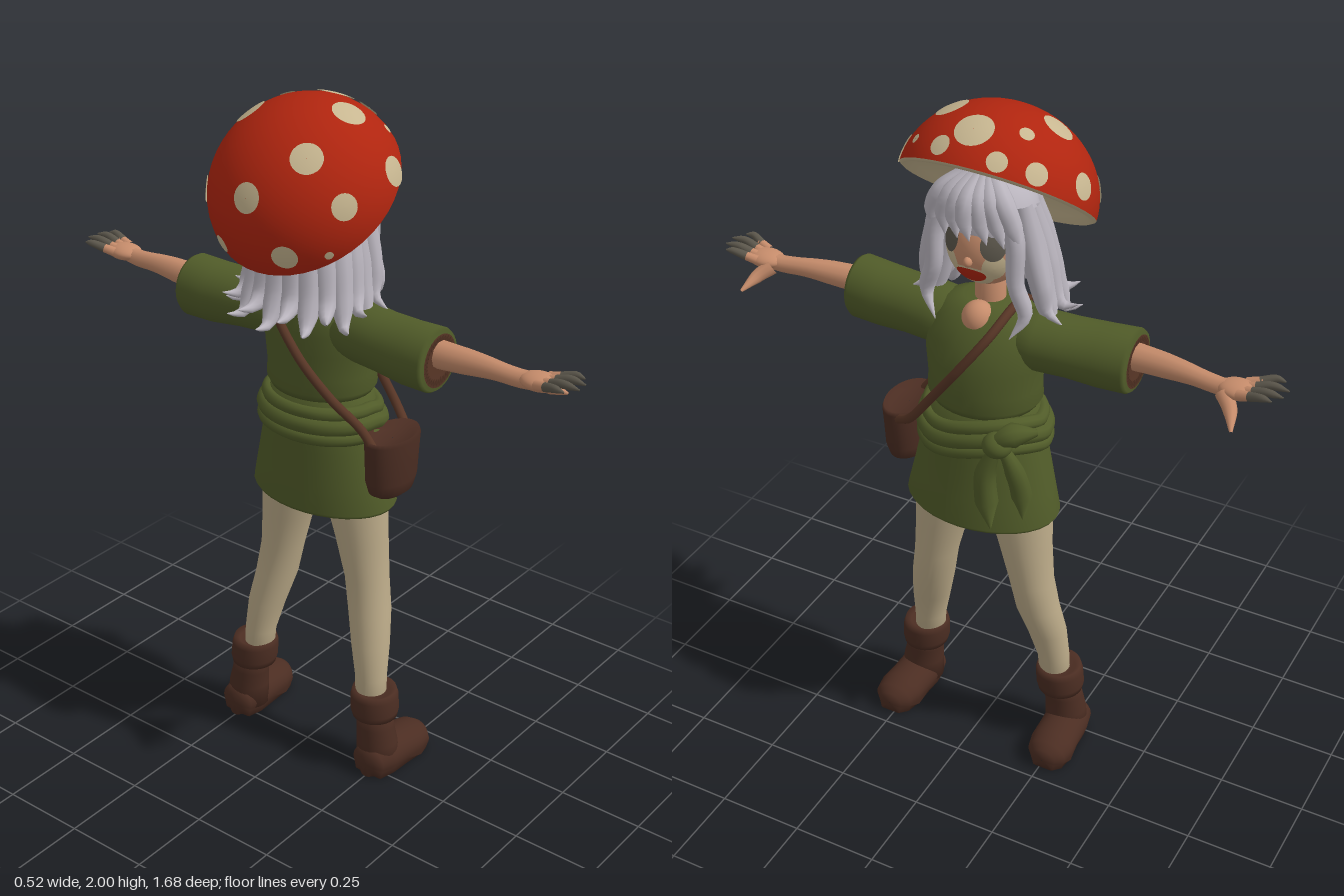
import * as THREE from 'three';

const mat = (name, color) => Object.assign(new THREE.MeshStandardMaterial({ color }), { name });
const V = (a) => new THREE.Vector3(...a);

export function createModel() {
  const red = mat('cap red', 0xb0250f), cream = mat('spot cream', 0xc8b791), stocking = mat('stocking beige', 0xbcab89);
  const green = mat('tunic green', 0x515c29), brown = mat('boot brown', 0x4b2d22), strapBrown = mat('strap brown', 0x583626);
  const hairMat = mat('hair silver', 0xb9b4bd), skin = mat('skin', 0xc68c6b), grey = mat('dark grey', 0x5b564b);
  cream.side = THREE.DoubleSide;

  // The figure is built facing +z, then turned to face +x
  const root = new THREE.Group();
  root.name = 'mushroomFigure';
  root.rotation.y = Math.PI / 2;

  const add = (name, geo, material, parent = root) => {
    const m = new THREE.Mesh(geo, material);
    m.name = name;
    parent.add(m);
    return m;
  };
  const ball = (name, c, r, material) => {
    const m = add(name, new THREE.SphereGeometry(1, 28, 20), material);
    m.position.set(...c);
    m.scale.set(...r);
    return m;
  };

  // Elliptical rings stacked along y; each row is [y, centreX, centreZ, radiusX, radiusZ]
  const rings = (rows, seg = 32) => {
    const pos = [], idx = [];
    const all = [[rows[0][0], rows[0][1], rows[0][2], 0.001, 0.001], ...rows];
    const e = rows[rows.length - 1];
    all.push([e[0], e[1], e[2], 0.001, 0.001]);
    all.forEach(([y, cx, cz, rx, rz], i) => {
      for (let j = 0; j < seg; j++) {
        const a = (j / seg) * Math.PI * 2;
        pos.push(cx + rx * Math.cos(a), y, cz + rz * Math.sin(a));
        if (!i) continue;
        const k = (j + 1) % seg, p = (i - 1) * seg, q = i * seg;
        idx.push(p + j, q + j, p + k, q + j, q + k, p + k);
      }
    });
    const g = new THREE.BufferGeometry();
    g.setAttribute('position', new THREE.Float32BufferAttribute(pos, 3));
    g.setIndex(idx);
    g.computeVertexNormals();
    return g;
  };

  // Tube along points, its radius running through a list of values
  const taper = (points, radii, n = 18, m = 10) => {
    const curve = new THREE.CatmullRomCurve3(points.map(V));
    const g = new THREE.TubeGeometry(curve, n, 1, m), p = g.attributes.position, v = new THREE.Vector3();
    for (let i = 0; i <= n; i++) {
      const c = curve.getPointAt(i / n), f = (i / n) * (radii.length - 1), k = Math.min(Math.floor(f), radii.length - 2);
      const r = THREE.MathUtils.lerp(radii[k], radii[k + 1], f - k);
      for (let j = 0; j <= m; j++) {
        const q = i * (m + 1) + j;
        v.fromBufferAttribute(p, q).sub(c).multiplyScalar(r).add(c);
        p.setXYZ(q, v.x, v.y, v.z);
      }
    }
    return g;
  };

  // Thin oval patch laid onto an ellipsoid
  const patch = (radii, dir, w, h, lift = 1.012) => {
    const R = V(radii), d = dir.clone(), fit = (p) => p.multiplyScalar(1 / p.clone().divide(R).length());
    fit(d);
    const n = d.clone().divide(R).divide(R).normalize();
    const t1 = new THREE.Vector3(0, 1, 0).cross(n).normalize(), t2 = n.clone().cross(t1);
    const g = new THREE.RingGeometry(0.01, 1, 24, 5), p = g.attributes.position;
    for (let i = 0; i < p.count; i++) {
      const q = d.clone().addScaledVector(t1, p.getX(i) * w).addScaledVector(t2, p.getY(i) * h);
      fit(q).multiplyScalar(lift);
      p.setXYZ(i, q.x, q.y, q.z);
    }
    g.computeVertexNormals();
    return g;
  };

  // Mushroom cap, tilted back
  const cap = new THREE.Group(), tilt = 0.68, capR = [0.265, 0.235, 0.265];
  cap.name = 'mushroomCap';
  cap.position.set(0, 1.755, -0.005);
  cap.rotation.x = -tilt;
  root.add(cap);
  add('capDome', new THREE.SphereGeometry(1, 48, 20, 0, Math.PI * 2, 0, Math.PI / 2), red, cap).scale.set(...capR);
  const gills = [[0.265, 0], [0.255, -0.006], [0.235, 0.012], [0.18, 0.04], [0.1, 0.06], [0.001, 0.065]];
  add('capUnderside', new THREE.LatheGeometry(gills.map((p) => new THREE.Vector2(...p)), 48), cream, cap);
  const spots = [
    [-0.12, 1.905, -0.155, 0.043], [-0.11, 1.965, 0.02, 0.046], [-0.07, 1.945, 0.165, 0.028], [-0.22, 1.835, 0.04, 0.04],
    [-0.2, 1.79, -0.12, 0.035], [-0.1, 1.665, -0.215, 0.035], [-0.16, 1.915, 0.115, 0.013], [-0.17, 1.68, -0.14, 0.012],
    [0.14, 1.94, -0.05, 0.045], [0.225, 1.83, 0.01, 0.035], [0.17, 1.9, 0.12, 0.03], [0.09, 1.94, 0.17, 0.027],
    [0.11, 1.96, 0.06, 0.02], [0, 1.985, 0.12, 0.052], [0, 1.8, -0.245, 0.04], [0.19, 1.75, -0.13, 0.036], [0.1, 1.65, -0.215, 0.025]];
  for (const [x, y, z, r] of spots) {
    const d = V([x, y, z]).sub(cap.position).applyAxisAngle(V([1, 0, 0]), tilt);
    add('capSpot', patch(capR, d, r, r), cream, cap);
  }

  // Head and face
  const headR = [0.11, 0.122, 0.115];
  const head = new THREE.Group();
  head.name = 'head';
  head.position.set(0, 1.645, 0.043);
  root.add(head);
  add('skull', new THREE.SphereGeometry(1, 32, 24), skin, head).scale.set(...headR);
  const face = (name, x, y, w, h, m, lift) => add(name, patch(headR, V([x, y, 0.1]), w, h, lift), m, head);
  face('chinPaint', 0, -0.075, 0.065, 0.045, cream, 1.01);
  face('mouth', 0, -0.058, 0.045, 0.026, red, 1.03);
  for (const s of [-1, 1]) {
    face('cheekPaint', s * 0.07, -0.035, 0.034, 0.045, cream, 1.015);
    face('eye', s * 0.067, 0.035, 0.035, 0.04, grey, 1.035);
    ball('ear', [s * 0.115, 1.62, 0.03], [0.02, 0.035, 0.022], skin);
  }
  ball('nose', [0, 1.63, 0.158], [0.012, 0.014, 0.014], skin);
  add('neck', rings([[1.42, 0, 0.04, 0.05, 0.045], [1.47, 0, 0.035, 0.042, 0.04], [1.57, 0, 0.035, 0.04, 0.04]]), skin);
  ball('neckline', [0, 1.435, 0.105], [0.045, 0.05, 0.045], skin);

  // Hair: scalp, flipped back locks, fringe and front locks
  ball('scalp', [0, 1.705, 0.022], [0.127, 0.13, 0.123], hairMat);
  for (let i = -6; i <= 6; i++) {
    const a = i * 0.3, s = Math.sin(a), c = Math.cos(a), drop = (i & 1) * 0.035;
    add('backLock', taper([[s * 0.1, 1.75, 0.02 - c * 0.09], [s * 0.14, 1.6, 0.01 - c * 0.12],
      [s * 0.165, 1.49, -c * 0.135], [s * 0.19, 1.425 + drop, -0.01 - c * 0.165], [s * 0.225, 1.43 + drop, -0.02 - c * 0.2]],
      [0.03, 0.038, 0.036, 0.03, 0.001]), hairMat);
  }
  for (let i = -3; i <= 3; i++) {
    const x = i * 0.034;
    add('fringeLock', taper([[x * 0.4, 1.84, 0.09], [x * 0.85, 1.8, 0.158 - Math.abs(x) * 0.3],
      [x * 1.1, 1.75, 0.17 - Math.abs(x) * 0.4], [x * 1.25 + 0.008, 1.695 - Math.abs(x) * 0.2, 0.165 - Math.abs(x) * 0.4]],
      [0.025, 0.03, 0.025, 0.001]), hairMat);
  }
  for (const s of [-1, 1]) {
    add('frontLock', taper([[s * 0.08, 1.8, 0.11], [s * 0.115, 1.7, 0.12], [s * 0.12, 1.58, 0.125], [s * 0.145, 1.49, 0.12], [s * 0.11, 1.42, 0.14]],
      [0.025, 0.027, 0.024, 0.023, 0.001]), hairMat);
    add('sideLock', taper([[s * 0.11, 1.78, 0.07], [s * 0.135, 1.68, 0.07], [s * 0.165, 1.56, 0.07], [s * 0.18, 1.48, 0.06], [s * 0.225, 1.45, 0.06]],
      [0.025, 0.032, 0.03, 0.025, 0.001]), hairMat);
  }

  // Tunic: skirt and loose blouse
  add('skirt', rings([[0.92, 0, 0.07, 0.15, 0.1], [0.845, 0, 0.08, 0.21, 0.14], [0.83, 0, 0.08, 0.222, 0.152], [0.84, 0, 0.08, 0.228, 0.157],
    [0.92, 0, 0.075, 0.21, 0.148], [1.02, 0, 0.07, 0.188, 0.14], [1.1, 0, 0.066, 0.168, 0.134], [1.2, 0, 0.065, 0.145, 0.125]]), green);
  add('blouse', rings([[1.2, 0, 0.065, 0.13, 0.11], [1.175, 0, 0.065, 0.15, 0.13], [1.195, 0, 0.065, 0.163, 0.137], [1.24, 0, 0.065, 0.16, 0.137],
    [1.31, 0, 0.063, 0.168, 0.135], [1.37, 0, 0.055, 0.172, 0.125], [1.42, 0, 0.045, 0.16, 0.108], [1.455, 0, 0.038, 0.12, 0.085], [1.47, 0, 0.035, 0.075, 0.06]]), green);

  // Waist sash: folded bands, knot and tails
  for (const [dy, k, r] of [[-0.035, 1.03, 0.02], [0, 1.0, 0.026], [0.035, 0.95, 0.02]]) {
    const pts = [];
    for (let i = 0; i < 24; i++) {
      const a = (i / 24) * Math.PI * 2, x = Math.cos(a) * 0.172 * k, f = Math.max(0, Math.sin(a));
      pts.push(V([x, 1.105 + x * 0.28 * f + dy, 0.068 + Math.sin(a) * 0.137 * k]));
    }
    add('sashFold', new THREE.TubeGeometry(new THREE.CatmullRomCurve3(pts, true), 60, r, 10, true), green);
  }
  ball('sashKnot', [0.11, 1.125, 0.205], [0.042, 0.036, 0.042], green);
  add('sashLoop', taper([[0.1, 1.13, 0.21], [0.15, 1.165, 0.2], [0.2, 1.16, 0.15]], [0.015, 0.035, 0.01]), green);
  add('sashTail', taper([[0.11, 1.12, 0.21], [0.085, 1.04, 0.225], [0.09, 0.95, 0.23], [0.105, 0.86, 0.235]], [0.014, 0.03, 0.033, 0.001]), green);
  add('sashTail', taper([[0.12, 1.12, 0.2], [0.155, 1.06, 0.2], [0.175, 0.98, 0.19], [0.18, 0.89, 0.19]], [0.014, 0.028, 0.03, 0.001]), green);

  // Shoulder bag with strap
  add('bag', rings([[0.91, -0.242, 0.065, 0.035, 0.055], [0.925, -0.242, 0.065, 0.052, 0.078], [0.96, -0.242, 0.066, 0.06, 0.09],
    [1.03, -0.242, 0.067, 0.062, 0.095], [1.08, -0.242, 0.068, 0.064, 0.099], [1.092, -0.242, 0.068, 0.06, 0.095], [1.075, -0.242, 0.068, 0.045, 0.075]]), brown);
  add('bagStrap', taper([[-0.225, 1.07, 0.155], [-0.17, 1.11, 0.185], [-0.1, 1.2, 0.192], [-0.01, 1.32, 0.2], [0.06, 1.42, 0.158], [0.085, 1.472, 0.06],
    [0.07, 1.43, -0.05], [-0.02, 1.32, -0.078], [-0.12, 1.2, -0.052], [-0.2, 1.12, -0.02], [-0.24, 1.07, -0.015]], [0.013, 0.013], 60), strapBrown);

  for (const s of [-1, 1]) {
    // Sleeve, open at the elbow
    const along = (rows) => rings(rows.map(([x, cy, cz, ry, rz]) => [x, -s * cy, cz, ry, rz])).rotateZ(-s * Math.PI / 2);
    add('sleeve', along([[0.07, 1.385, 0.045, 0.07, 0.08], [0.16, 1.378, 0.04, 0.083, 0.09], [0.24, 1.375, 0.03, 0.082, 0.088],
      [0.33, 1.372, 0.022, 0.088, 0.088], [0.41, 1.375, 0.017, 0.09, 0.088], [0.42, 1.376, 0.017, 0.084, 0.082]]), green);
    add('sleeveLining', along([[0.423, 1.376, 0.017, 0.074, 0.072], [0.421, 1.376, 0.017, 0.05, 0.05]]), strapBrown);

    // Arm, palm, thumb and gloved fingertips
    add('arm', taper([[s * 0.3, 1.39, 0.02], [s * 0.45, 1.393, 0.022], [s * 0.56, 1.393, 0.03], [s * 0.66, 1.387, 0.038], [s * 0.7, 1.39, 0.042]],
      [0.042, 0.04, 0.035, 0.026, 0.024]), skin);
    ball('palm', [s * 0.71, 1.394, 0.04], [0.055, 0.023, 0.042], skin);
    add('thumb', taper([[s * 0.68, 1.385, 0.06], [s * 0.71, 1.36, 0.09], [s * 0.735, 1.33, 0.14]], [0.024, 0.018, 0.004]), skin);
    [[-0.016, 0.815], [0.02, 0.838], [0.055, 0.835], [0.085, 0.815]].forEach(([z, x], i) => {
      const z0 = 0.008 + i * 0.021;
      add('finger', taper([[s * 0.72, 1.398, z0], [s * 0.76, 1.408, (z0 + z) / 2]], [0.014, 0.0125], 4), skin);
      add('fingertip', taper([[s * 0.752, 1.406, (z0 * 0.6 + z * 0.4)], [s * 0.79, 1.417, z], [s * x, 1.414, z]], [0.013, 0.012, 0.01, 0.002], 10), grey);
    });

    // Leg and boot
    add('leg', rings([[0.2, s * 0.213, 0.03, 0.045, 0.045], [0.3, s * 0.208, 0.035, 0.047, 0.046], [0.4, s * 0.193, 0.05, 0.057, 0.056],
      [0.5, s * 0.172, 0.072, 0.063, 0.063], [0.6, s * 0.155, 0.08, 0.064, 0.066], [0.72, s * 0.135, 0.08, 0.076, 0.076],
      [0.84, s * 0.115, 0.078, 0.093, 0.085], [0.95, s * 0.1, 0.075, 0.095, 0.085]]), stocking);
    add('bootShaft', rings([[0.03, s * 0.25, 0.02, 0.065, 0.06], [0.1, s * 0.245, 0.02, 0.062, 0.058], [0.15, s * 0.238, 0.02, 0.057, 0.052],
      [0.2, s * 0.232, 0.025, 0.058, 0.055]]), brown);
    add('bootCuff', rings([[0.185, s * 0.23, 0.028, 0.054, 0.055], [0.18, s * 0.23, 0.028, 0.066, 0.067], [0.2, s * 0.229, 0.028, 0.071, 0.071],
      [0.245, s * 0.226, 0.03, 0.07, 0.071], [0.265, s * 0.225, 0.03, 0.064, 0.066], [0.255, s * 0.225, 0.03, 0.048, 0.05]]), brown);
    const foot = rings([[-0.045, s * 0.252, -0.045, 0.03, 0.03], [-0.03, s * 0.252, -0.045, 0.055, 0.05], [0.02, s * 0.253, -0.045, 0.066, 0.06],
      [0.08, s * 0.256, -0.042, 0.066, 0.057], [0.14, s * 0.26, -0.04, 0.068, 0.054], [0.18, s * 0.262, -0.038, 0.06, 0.047],
      [0.203, s * 0.262, -0.036, 0.038, 0.033], [0.21, s * 0.262, -0.036, 0.015, 0.015]]).rotateX(Math.PI / 2);
    const p = foot.attributes.position;
    for (let i = 0; i < p.count; i++) p.setY(i, Math.max(0, p.getY(i) < 0.02 ? p.getY(i) - 0.015 : p.getY(i)));
    foot.computeVertexNormals();
    add('bootFoot', foot, brown);
  }

  const model = new THREE.Group();
  model.name = 'model';
  model.add(root);
  return model;
}
